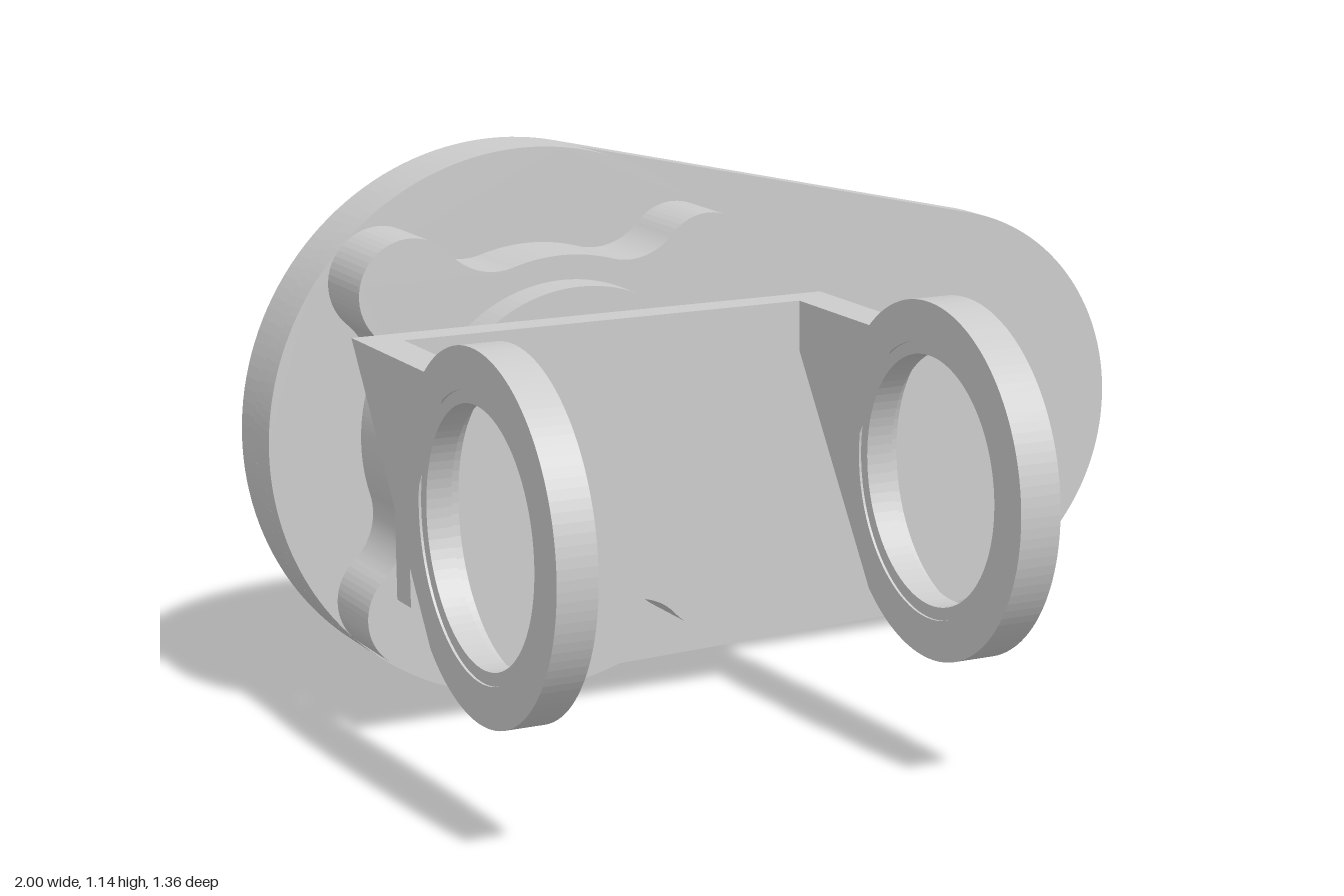
import * as THREE from 'three';

const material = new THREE.MeshStandardMaterial({ color: 0xcccccc, flatShading: true });
const CX = -0.43, CY = 0.57;   // axis of the round base
const { PI, sin, cos, acos, asin, atan2, hypot } = Math;

function hole(shape, x, y, r) {
  shape.holes.push(new THREE.Path().absarc(x, y, r, 0, 2 * PI, true));
  return shape;
}

// Extrude a front-facing (x, y) outline from z0 to z1
function slab(shape, z0, z1, curveSegments = 40) {
  const g = new THREE.ExtrudeGeometry(shape, { depth: z1 - z0, bevelEnabled: false, curveSegments });
  return g.translate(0, 0, z0);
}

// Extrude a sideways (z, y) outline from x0 to x1
function sideSlab(shape, x0, x1) {
  return slab(shape, -x1, -x0).rotateY(-PI / 2);
}

const circle = (x, y, r) => new THREE.Shape().absarc(x, y, r, 0, 2 * PI, false);

// Two circles of different size joined by their tangents
function plateShape() {
  const r1 = 0.57, r2 = 0.445, x2 = 0.555, y2 = 0.475;
  const dir = atan2(y2 - CY, x2 - CX);
  const spread = acos((r1 - r2) / hypot(x2 - CX, y2 - CY));
  const s = new THREE.Shape();
  s.absarc(x2, y2, r2, dir - spread, dir + spread, false);
  s.absarc(CX, CY, r1, dir + spread, dir - spread + 2 * PI, false);
  for (const sx of [-1, 1]) for (const sy of [-1, 1]) hole(s, CX + sx * 0.325, CY + sy * 0.325, 0.016);
  return s;
}

// Disc with a straight-sided slot open towards +x
function slottedDiscShape() {
  const r = 0.57, h = 0.205, a = asin(h / r);
  const s = new THREE.Shape();
  s.absarc(CX, CY, r, a, 2 * PI - a, false);
  s.lineTo(-0.3, CY - h);
  s.lineTo(-0.3, CY + h);
  return s;
}

// Round body with four ears, blended by concave fillets
function earedShape() {
  const R = 0.375, ear = 0.11, f = 0.13, D = 0.46;
  const b = acos(((R + f) ** 2 + D * D - (ear + f) ** 2) / (2 * (R + f) * D));
  const at = (t, d) => [CX + d * cos(t), CY + d * sin(t)];
  const angle = (p, q) => atan2(q[1] - p[1], q[0] - p[0]);
  const s = new THREE.Shape();
  for (let k = 0; k < 4; k++) {
    const t = PI / 4 + k * PI / 2;
    const L = at(t, D), F1 = at(t - b, R + f), F2 = at(t + b, R + f);
    s.absarc(...F1, f, t - b + PI, angle(F1, L), true);
    s.absarc(...L, ear, angle(L, F1), angle(L, F2), false);
    s.absarc(...F2, f, angle(F2, L), t + b + PI, true);
    s.absarc(CX, CY, R, t + b, t + PI / 2 - b, false);
  }
  return s;
}

// Arm outline: straight shank running into a ring
const RING = { z: 0.33, y: 0.575, r: 0.35, bore: 0.27, lip: 0.245 };
function armShape() {
  const h = 0.265, a = asin(h / RING.r);
  const s = new THREE.Shape();
  s.moveTo(-0.26, RING.y - h);
  s.absarc(RING.z, RING.y, RING.r, PI + a, 3 * PI - a, false);
  s.lineTo(-0.26, RING.y + h);
  return hole(s, RING.z, RING.y, RING.bore);
}

export function createModel() {
  const group = new THREE.Group();
  const add = (name, geometry, parent = group) => {
    const m = new THREE.Mesh(geometry, material);
    m.name = name;
    parent.add(m);
    return m;
  };
  const box = (x0, x1, y0, y1, z0, z1) =>
    new THREE.BoxGeometry(x1 - x0, y1 - y0, z1 - z0)
      .translate((x0 + x1) / 2, (y0 + y1) / 2, (z0 + z1) / 2);

  // Base
  add('backPlate', slab(plateShape(), -0.675, -0.6));
  add('baseDisc', slab(circle(CX, CY, 0.57), -0.6, -0.56, 80));
  add('slottedDisc', slab(slottedDiscShape(), -0.56, -0.52, 80));

  // Swivel housing
  add('earedHousing', slab(earedShape(), -0.52, -0.355, 14));
  add('housingCap', slab(circle(CX, CY, 0.325), -0.355, -0.272, 64));
  add('motorBlock', box(-0.4, 0.015, CY - 0.205, CY + 0.205, -0.56, -0.271));
  add('pivotDisc', slab(circle(CX, CY, 0.222), -0.272, -0.26, 56));

  // Fork
  const fork = new THREE.Group();
  fork.name = 'fork';
  group.add(fork);
  add('forkBridge', box(-0.84, 0.015, 0.31, 0.84, -0.26, -0.19), fork);
  for (const [side, x0, x1] of [['right', -0.92, -0.84], ['left', 0.015, 0.1]]) {
    add(side + 'Arm', sideSlab(armShape(), x0, x1), fork);
    const lip = hole(circle(RING.z, RING.y, RING.bore), RING.z, RING.y, RING.lip);
    add(side + 'RingLip', sideSlab(lip, x0 + 0.005, x1 - 0.025), fork);
  }
  return group;
}
